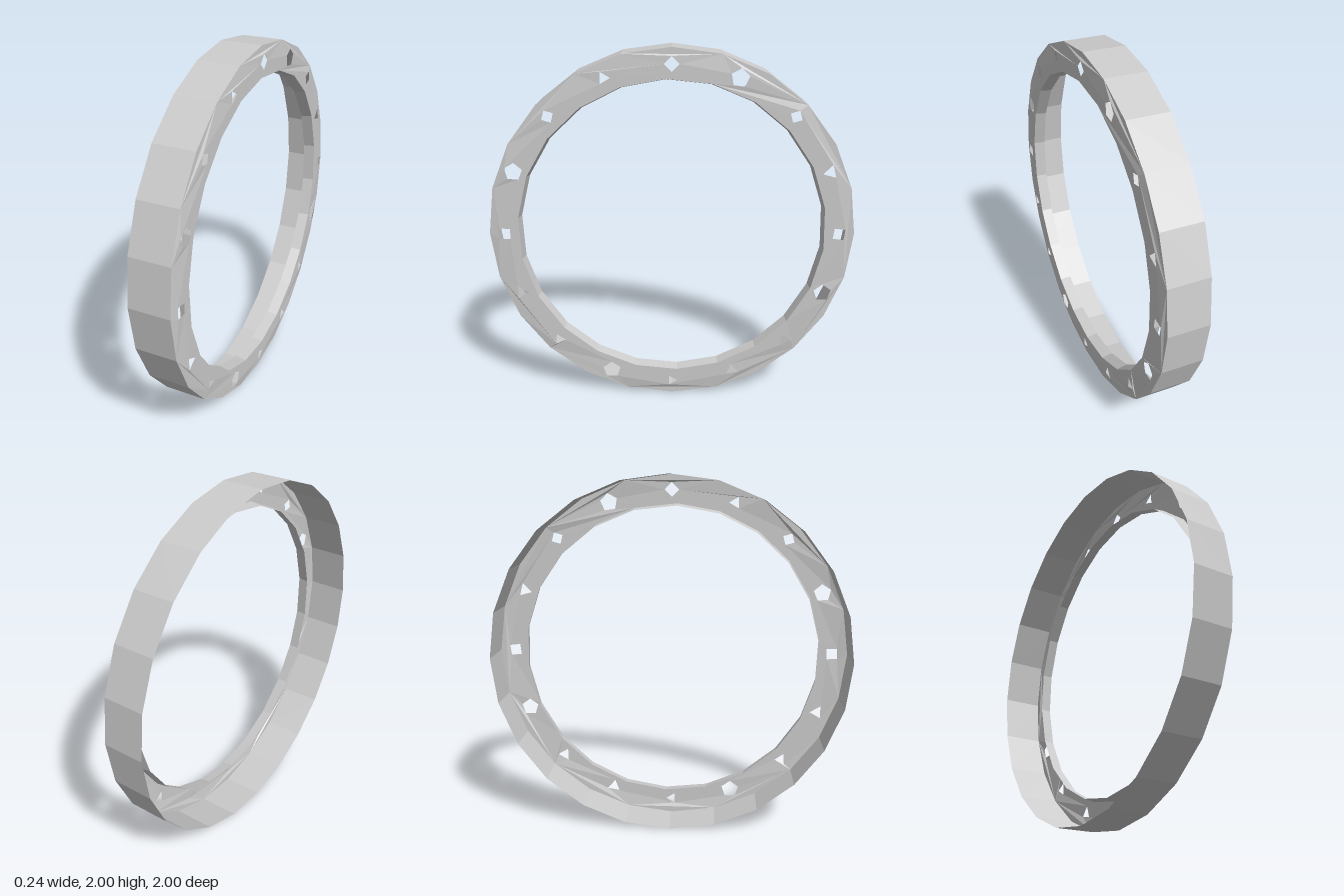
import * as THREE from 'three';

const material = new THREE.MeshStandardMaterial({
  color: 0xcccccc, flatShading: true, side: THREE.DoubleSide,
});
const BACK = -0.118, EDGE = 0.108, FACE = 0.118;   // positions along the ring's axis
const RIM_SIDES = 24, BORE_SIDES = 22, BORE_RADIUS = 0.842;
const BORE_TURN = -2;                              // degrees clockwise from the top

// Holes clockwise from the top: [sides, radius, turn in degrees]
const HOLES = [
  [4, 0.04, 0], [5, 0.05, 8], [4, 0.036, 30], [3, 0.042, 15],
  [4, 0.042, 52], [5, 0.05, 0], [3, 0.04, 90], [3, 0.04, -10],
  [3, 0.034, 90], [5, 0.052, 0], [3, 0.036, -25], [3, 0.041, 90],
  [4, 0.042, 48], [5, 0.05, 5], [4, 0.036, -30], [3, 0.036, 90],
];

// Regular polygon, angles measured clockwise from the top
function polygon(sides, radius, turn = 0, cx = 0, cy = 0) {
  return Array.from({ length: sides }, (_, i) => {
    const a = THREE.MathUtils.degToRad(turn) + (i / sides) * Math.PI * 2;
    return new THREE.Vector2(cx + radius * Math.sin(a), cy + radius * Math.cos(a));
  });
}

// Open faceted band around the local z axis
function band(name, frontRadius, backRadius, front, back, sides, turn) {
  const geometry = new THREE.CylinderGeometry(
    frontRadius, backRadius, front - back, sides, 1, true, -THREE.MathUtils.degToRad(turn));
  geometry.rotateX(Math.PI / 2).translate(0, 0, (front + back) / 2);
  const mesh = new THREE.Mesh(geometry, material);
  mesh.name = name;
  return mesh;
}

// Thin perforated face, very slightly raised from its outer edge
function perforatedFlange() {
  const shape = new THREE.Shape(polygon(RIM_SIDES, 1));
  shape.holes.push(new THREE.Path(polygon(BORE_SIDES, BORE_RADIUS, BORE_TURN)));
  HOLES.forEach(([sides, radius, turn], i) => {
    const a = (i / HOLES.length) * Math.PI * 2;
    const r = 0.916;
    shape.holes.push(new THREE.Path(
      polygon(sides, radius, turn, r * Math.sin(a), r * Math.cos(a))));
  });
  const geometry = new THREE.ShapeGeometry(shape);
  const p = geometry.attributes.position;
  for (let i = 0; i < p.count; i++) {
    p.setZ(i, Math.hypot(p.getX(i), p.getY(i)) > 0.99 ? EDGE : FACE);
  }
  geometry.computeVertexNormals();
  const mesh = new THREE.Mesh(geometry, material);
  mesh.name = 'perforatedFlange';
  return mesh;
}

export function createModel() {
  const ring = new THREE.Group();
  ring.name = 'ring';
  ring.add(
    band('outerBand', 1, 1, EDGE, BACK, RIM_SIDES, 0),
    perforatedFlange(),
    // Short lip turned back from the bore of the flange
    band('innerLip', BORE_RADIUS, 0.832, FACE, 0.055, BORE_SIDES, BORE_TURN),
  );
  // Stand the ring up with its axis along x
  ring.rotation.y = Math.PI / 2;
  ring.position.y = 1;

  const model = new THREE.Group();
  model.name = 'perforatedRing';
  model.add(ring);
  return model;
}
